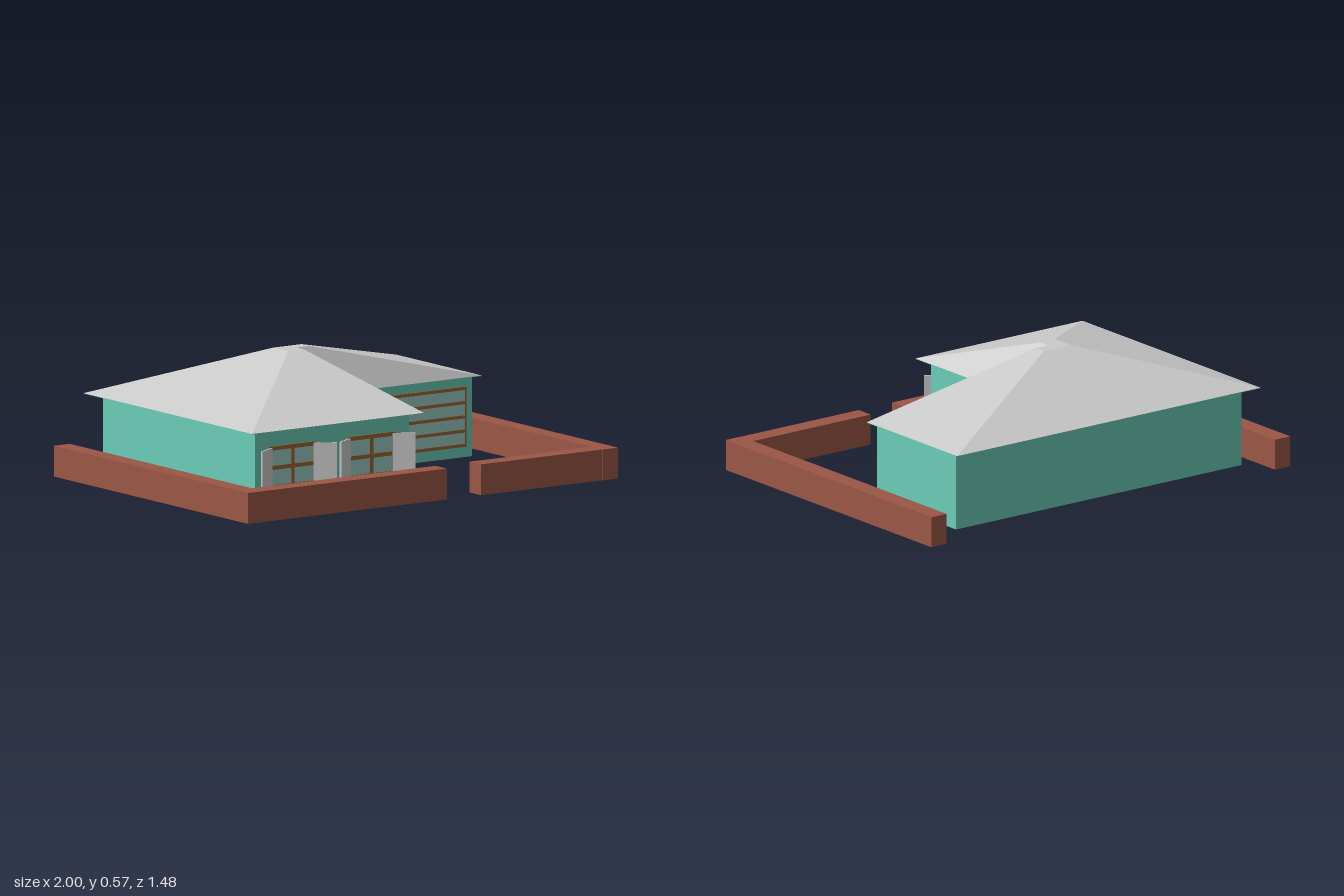
import * as THREE from 'three';

const mat = (color) => new THREE.MeshStandardMaterial({ color, flatShading: true });

export function createModel() {
  const house = new THREE.Group();
  house.name = 'house';
  const teal = mat(0x6bccb8), brick = mat(0x9b5646), wood = mat(0x9a6633);
  const glass = mat(0x98cac6), grey = mat(0xcccccc);

  const add = (parent, name, geometry, material) => {
    const mesh = new THREE.Mesh(geometry, material);
    mesh.name = name;
    parent.add(mesh);
    return mesh;
  };
  // Box given by its lower and upper limits on each axis
  const box = (parent, name, material, [x0, x1], [y0, y1], [z0, z1]) => {
    const m = add(parent, name, new THREE.BoxGeometry(x1 - x0, y1 - y0, z1 - z0), material);
    m.position.set((x0 + x1) / 2, (y0 + y1) / 2, (z0 + z1) / 2);
    return m;
  };
  // L-shaped plan: full-width rear, front wing on the left half
  const prism = (x0, xi, x1, zBack, zi, zFront, y0, y1) => {
    const pts = [[x0, zFront], [xi, zFront], [xi, zi], [x1, zi], [x1, zBack], [x0, zBack]];
    const shape = new THREE.Shape(pts.map(([x, z]) => new THREE.Vector2(x, -z)));
    return new THREE.ExtrudeGeometry(shape, { depth: y1 - y0, bevelEnabled: false })
      .rotateX(-Math.PI / 2).translate(0, y0, 0);
  };

  // Walls and eave underside
  add(house, 'walls', prism(-0.82, 0.01, 0.77, -0.62, -0.05, 0.54, 0.01, 0.367), teal);
  add(house, 'eaves', prism(-0.88, 0.05, 0.81, -0.68, -0.03, 0.6, 0.367, 0.37), teal);

  // Hipped roof: the plan shrinks towards a small flat top
  const roof = prism(-0.88, 0.05, 0.81, -0.68, -0.03, 0.6, 0.37, 0.575);
  const p = roof.attributes.position, s = 0.0893, cx = -0.137, cz = -0.142;
  for (let i = 0; i < p.count; i++) {
    if (p.getY(i) < 0.5) continue;
    p.setX(i, cx + (p.getX(i) - cx) * s);
    p.setZ(i, cz + (p.getZ(i) - cz) * s);
  }
  roof.computeVertexNormals();
  add(house, 'roof', roof, grey);

  // Windows with open shutters
  for (const x of [-0.62, -0.195]) {
    const win = new THREE.Group();
    win.name = 'window';
    win.position.set(x, 0, 0.54);
    house.add(win);
    const w = 0.12, bar = 0.009;
    box(win, 'windowGlass', glass, [-w, w], [0.1, 0.285], [-0.002, 0.003]);
    for (const y of [0.108, 0.195, 0.282])
      box(win, 'windowRail', wood, [-w, w], [y - bar, y + bar], [0, 0.007]);
    for (const dx of [-w, 0, w])
      box(win, 'windowStile', wood, [dx - bar, dx + bar], [0.1, 0.29], [0, 0.006]);
    for (const side of [-1, 1]) {
      const hinge = new THREE.Group();
      hinge.name = 'shutter';
      hinge.position.x = side * 0.115;
      hinge.rotation.y = -side * 0.52;
      win.add(hinge);
      const ends = side > 0 ? [0, 0.103] : [-0.103, 0];
      box(hinge, 'shutterPanel', grey, ends, [0.09, 0.285], [0, 0.008]);
    }
  }

  // Garage door with wooden slats
  const garage = new THREE.Group();
  garage.name = 'garageDoor';
  house.add(garage);
  box(garage, 'garageGlass', glass, [0.06, 0.735], [0.06, 0.325], [-0.052, -0.047]);
  for (let i = 0; i < 5; i++) {
    const y = 0.064 + i * 0.0637;
    box(garage, 'garageSlat', wood, [0.06, 0.735], [y - 0.007, y + 0.007], [-0.05, -0.043]);
  }
  for (const x of [0.063, 0.732])
    box(garage, 'garageFrame', wood, [x - 0.004, x + 0.004], [0.057, 0.326], [-0.05, -0.044]);

  // Front door on the inner side of the front wing
  box(house, 'frontDoor', wood, [0.005, 0.016], [0.012, 0.224], [0.18, 0.315]);

  // Garden wall with a driveway gap
  const fence = new THREE.Group();
  fence.name = 'gardenWall';
  house.add(fence);
  const h = [0, 0.138];
  box(fence, 'leftWall', brick, [0.915, 1], h, [-0.74, 0.74]);
  box(fence, 'rightWall', brick, [-1, -0.915], h, [-0.74, 0.74]);
  box(fence, 'frontWallRight', brick, [-0.915, 0.075], h, [0.652, 0.738]);
  box(fence, 'frontWallLeft', brick, [0.26, 0.915], h, [0.652, 0.738]);

  return house;
}
